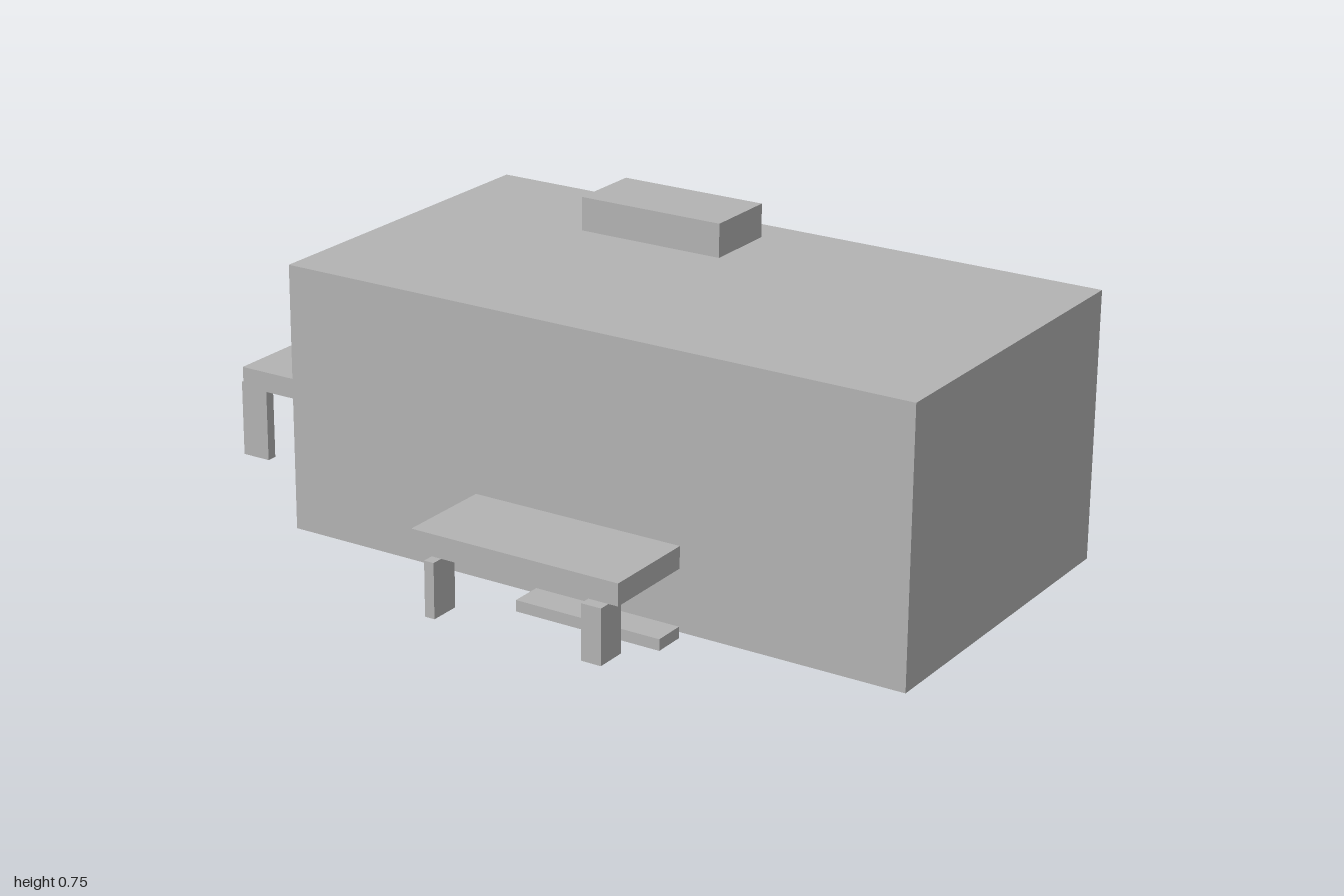
import * as THREE from 'three';

// Box given by its extents, open underneath
function shell(name, [x0, x1], [y0, y1], [z0, z1], material) {
  const geometry = new THREE.BoxGeometry(x1 - x0, y1 - y0, z1 - z0);
  const bottom = geometry.groups[3];
  const index = Array.from(geometry.index.array);
  index.splice(bottom.start, bottom.count);
  geometry.setIndex(index);
  geometry.clearGroups();
  const mesh = new THREE.Mesh(geometry, material);
  mesh.name = name;
  mesh.position.set((x0 + x1) / 2, (y0 + y1) / 2, (z0 + z1) / 2);
  return mesh;
}

export function createModel() {
  const model = new THREE.Group();
  model.name = 'building';
  const grey = new THREE.MeshStandardMaterial({ color: 0xb3b3b3, side: THREE.DoubleSide });
  grey.name = 'plain grey';

  // Main block and the unit floating just above its roof
  model.add(shell('mainBlock', [-0.6, 0.995], [0, 0.64], [-0.573, 0.28], grey));
  model.add(shell('roofUnit', [-0.148, 0.22], [0.667, 0.747], [-0.412, -0.228], grey));

  // Front porch: canopy, posts and step
  const front = new THREE.Group();
  front.name = 'frontPorch';
  front.add(shell('canopy', [-0.07, 0.46], [0.162, 0.214], [0.308, 0.547], grey));
  front.add(shell('step', [0.09, 0.46], [0, 0.027], [0.308, 0.386], grey));
  for (const x of [[-0.018, 0.007], [0.385, 0.435]]) {
    front.add(shell('post', x, [0.03, 0.161], [0.497, 0.573], grey));
  }
  model.add(front);

  // Side porch: canopy, posts and step
  const side = new THREE.Group();
  side.name = 'sidePorch';
  side.add(shell('canopy', [-0.972, -0.632], [0.19, 0.24], [-0.522, 0.008], grey));
  side.add(shell('step', [-0.71, -0.632], [0, 0.027], [-0.37, 0.008], grey));
  for (const z of [[-0.497, -0.472], [-0.046, -0.02]]) {
    side.add(shell('post', [-1, -0.925], [0, 0.188], z, grey));
  }
  model.add(side);

  return model;
}
